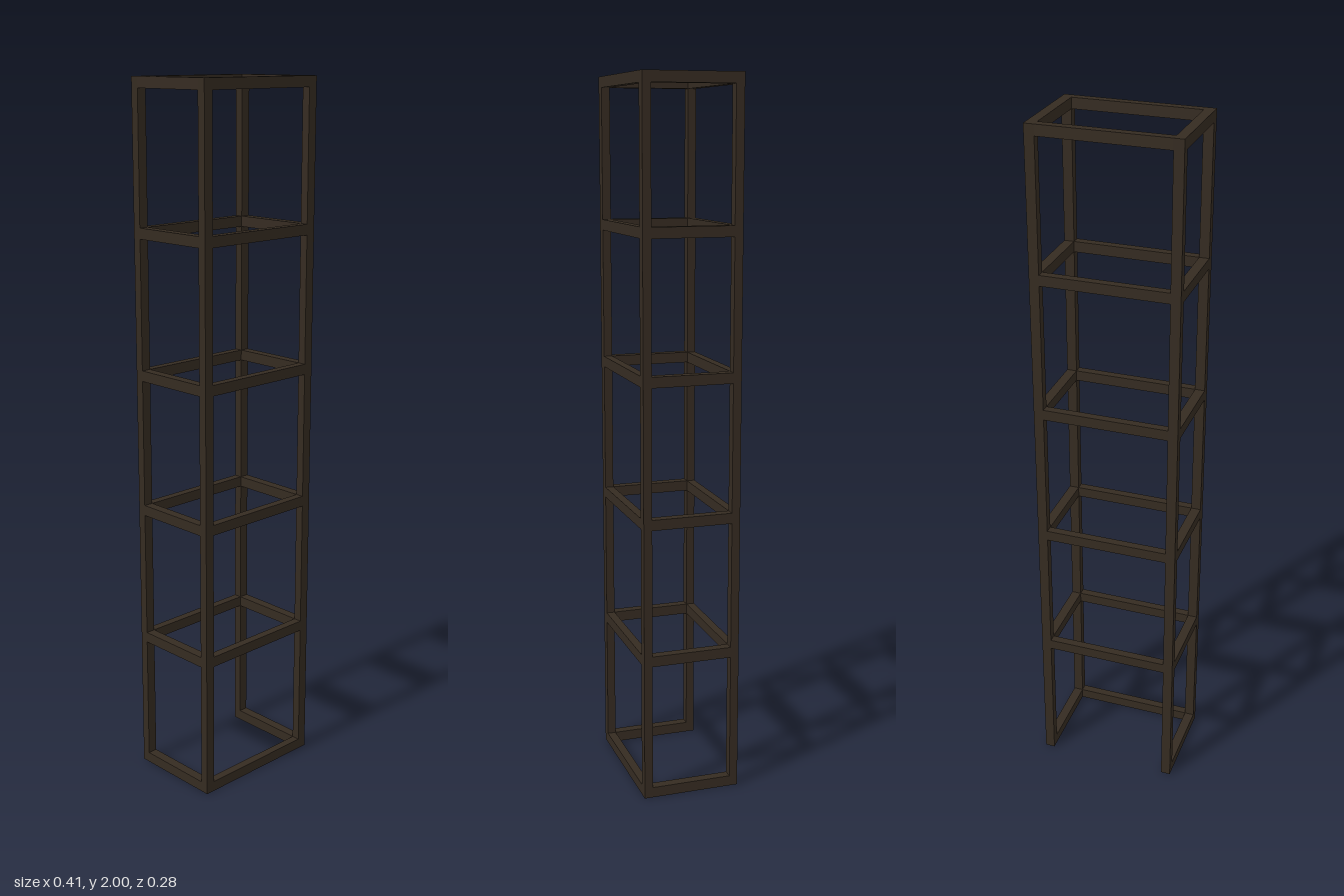
import * as THREE from 'three';

export function createModel() {
  const group = new THREE.Group();
  const darkBronze = new THREE.MeshStandardMaterial({ color: 0x352b21 });
  darkBronze.name = 'darkBronze';

  const W = 0.412, H = 2, D = 0.28;      // outer size
  const tx = 0.028, ty = 0.03, tz = 0.024; // bar thickness along each axis
  const px = (W - tx) / 2, pz = (D - tz) / 2;

  const bar = (name, w, h, d, x, y, z) => {
    const mesh = new THREE.Mesh(new THREE.BoxGeometry(w, h, d), darkBronze);
    mesh.name = name;
    mesh.position.set(x, y, z);
    group.add(mesh);
  };

  // Four full-height corner posts
  for (const sx of [-1, 1]) {
    for (const sz of [-1, 1]) {
      bar(`${sz > 0 ? 'front' : 'back'}${sx > 0 ? 'Left' : 'Right'}Post`,
        tx, H, tz, sx * px, H / 2, sz * pz);
    }
  }

  // Six levels of rails between the posts; the lowest level is open at the back
  const levels = 6;
  for (let i = 0; i < levels; i++) {
    const y = ty / 2 + (i * (H - ty)) / (levels - 1);
    bar(`frontRail${i + 1}`, W - 2 * tx, ty, tz, 0, y, pz);
    if (i > 0) bar(`backRail${i + 1}`, W - 2 * tx, ty, tz, 0, y, -pz);
    bar(`leftRail${i + 1}`, tx, ty, D - 2 * tz, px, y, 0);
    bar(`rightRail${i + 1}`, tx, ty, D - 2 * tz, -px, y, 0);
  }
  return group;
}
